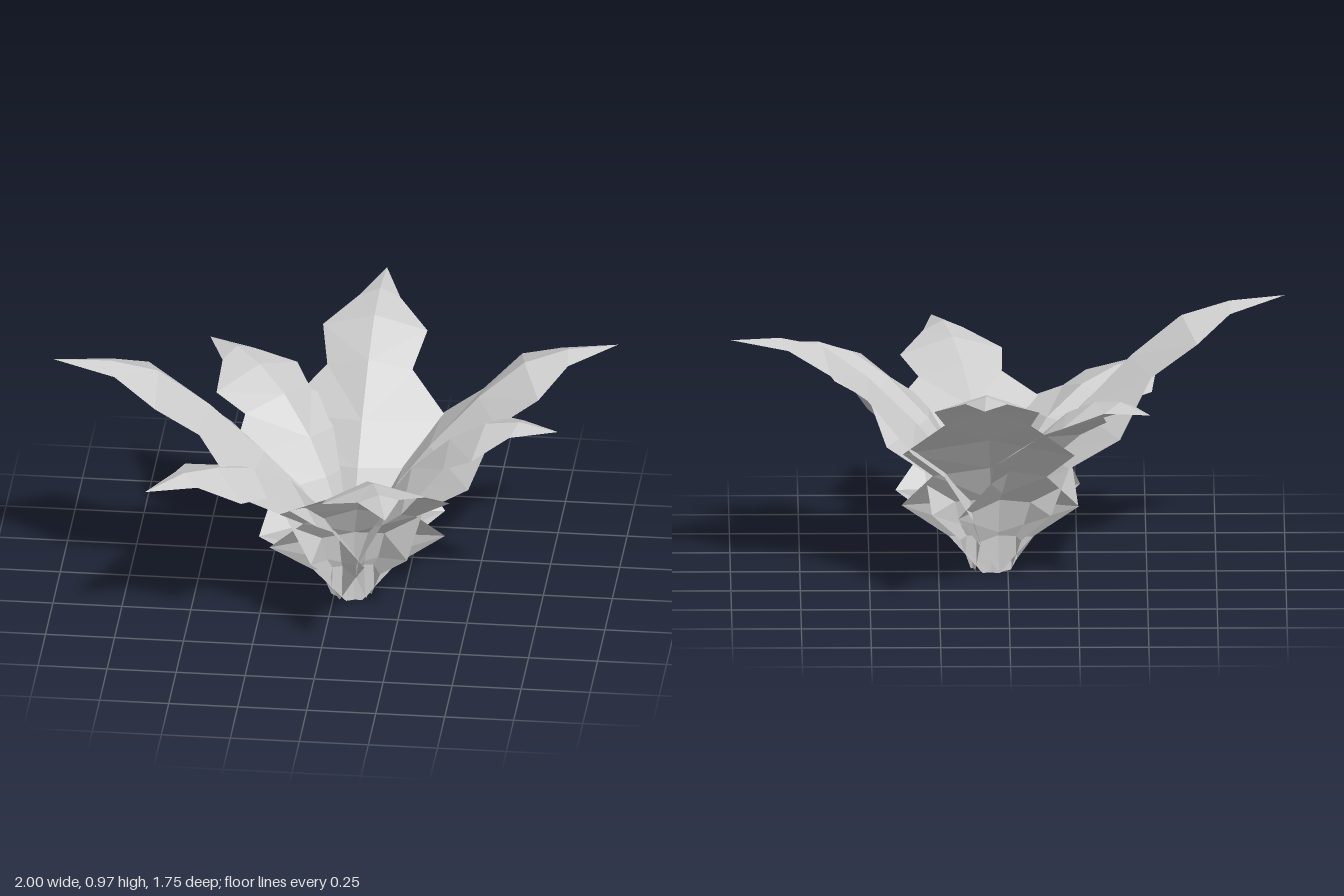
import * as THREE from 'three';

// Cross-sections from root to tip, for a leaf of average reach and height:
// [rib reach, rib height, edge reach, edge height, half width, lift share]
// the lift share says how far a section follows a higher or lower tip
const SECTIONS = [
  [0.063, 0.00, 0.068, 0.00, 0.03, 0],
  [0.060, 0.14, 0.080, 0.14, 0.15, 0],
  [0.080, 0.28, 0.150, 0.275, 0.32, 0],   // low lobe
  [0.16, 0.42, 0.22, 0.405, 0.205, 0.1],  // notch
  [0.27, 0.555, 0.36, 0.525, 0.31, 0.2],  // middle lobe
  [0.44, 0.715, 0.48, 0.67, 0.155, 0.55], // notch
  [0.60, 0.82, 0.62, 0.76, 0.19, 0.9],    // upper lobe
  [0.75, 0.855, 0.74, 0.825, 0.075, 1],
  [0.925, 0.85, 0.925, 0.85, 0, 1.15],    // tip
];
const TIP_REACH = 0.925, TIP_HEIGHT = 0.85, TIP_LIFT = 1.15;

// Leaf tips: [name, x, y, z]
const LEAVES = [
  ['backLeaf', 0.09, 0.848, -0.875],
  ['leftBackLeaf', 1.0, 0.925, -0.2],
  ['leftFrontLeaf', 0.83, 0.79, 0.25],
  ['frontLeaf', 0.27, 0.715, 0.87],
  ['rightFrontLeaf', -0.63, 0.64, 0.59],
  ['rightLeaf', -1.0, 0.97, 0.22],
  ['rightBackLeaf', -0.51, 0.725, -0.5],
];

const CENTER = { x: 0.06, z: 0.047 };

// A lobed blade folded along its rib
function leafGeometry(tx, ty, tz) {
  const dx = tx - CENTER.x, dz = tz - CENTER.z;
  const reach = Math.hypot(dx, dz);
  const ux = dx / reach, uz = dz / reach;
  const stretch = reach / TIP_REACH;
  const rise = (ty - TIP_HEIGHT) / TIP_LIFT;
  const points = [], index = [];

  for (const [r, h, edgeR, edgeH, w, lift] of SECTIONS) {
    // the root keeps its size, the rest stretches with the leaf
    const scale = 1 + (stretch - 1) * Math.min(1, h * 2);
    for (const [reachAt, height, side] of [[edgeR, edgeH, -w], [r, h, 0], [edgeR, edgeH, w]]) {
      points.push(
        CENTER.x + ux * reachAt * scale - uz * side,
        height + rise * lift,
        CENTER.z + uz * reachAt * scale + ux * side,
      );
    }
  }
  for (let i = 0; i < SECTIONS.length - 1; i++) {
    for (let j = 0; j < 2; j++) {
      const a = i * 3 + j, b = a + 1, c = a + 3, d = a + 4;
      if (i === SECTIONS.length - 2) index.push(a, b, d);
      else if (j === 0) index.push(a, b, c, b, d, c);
      else index.push(a, b, d, a, d, c);
    }
  }
  const g = new THREE.BufferGeometry();
  g.setAttribute('position', new THREE.Float32BufferAttribute(points, 3));
  g.setIndex(index);
  const flat = g.toNonIndexed();
  flat.computeVertexNormals();
  return flat;
}

export function createModel() {
  const plant = new THREE.Group();
  plant.name = 'leafyPlant';
  const leafGrey = new THREE.MeshStandardMaterial({
    color: 0xcccccc, side: THREE.DoubleSide, flatShading: true,
  });
  leafGrey.name = 'leafGrey';

  for (const [name, x, y, z] of LEAVES) {
    const leaf = new THREE.Mesh(leafGeometry(x, y, z), leafGrey);
    leaf.name = name;
    plant.add(leaf);
  }
  return plant;
}
